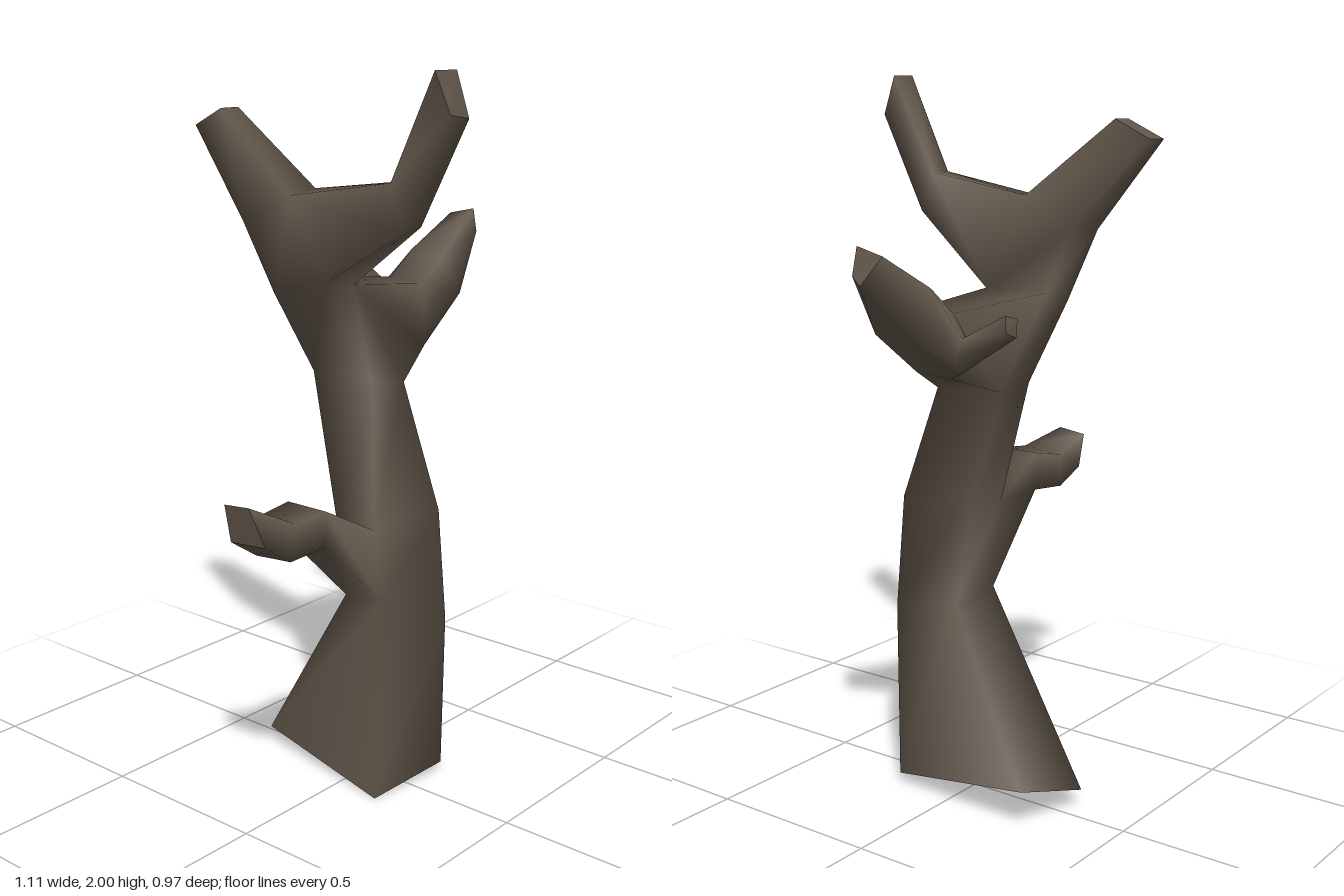
import * as THREE from 'three';

// Each limb is a chain of four-cornered rings, counter-clockwise seen from its tip.
const trunk = [
  [[-0.13, 0, 0.14], [0.12, 0.03, 0.18], [0.18, 0.12, -0.29], [-0.06, 0.05, -0.325]],
  [[-0.14, 0.6, 0.17], [0.06, 0.51, 0.235], [0.07, 0.56, 0.015], [-0.1, 0.57, 0.01]],
  [[-0.17, 0.81, 0.17], [0.03, 0.83, 0.23], [0.04, 0.85, -0.02], [-0.15, 0.81, 0.02]],
  [[-0.07, 1.17, 0.08], [0.05, 1.16, 0.09], [0.06, 1.17, -0.13], [-0.07, 1.18, -0.13]],
  [[-0.16, 1.45, 0], [-0.05, 1.43, 0], [-0.05, 1.43, -0.2], [-0.15, 1.4, -0.2]],
  [[-0.19, 1.67, -0.1], [-0.09, 1.68, -0.1], [-0.08, 1.6, -0.26], [-0.2, 1.59, -0.26]],
  [[-0.165, 1.88, -0.37], [-0.1, 1.88, -0.37], [-0.09, 1.83, -0.48], [-0.15, 1.83, -0.485]],
];
const [, t1, t2, t3, t4, t5] = trunk;

// Branches grow out of the open sides of their parent limb.
const frontBranch = [
  [t4[0], t4[1], t5[1], t5[0]],
  [[-0.225, 1.61, 0.31], [-0.16, 1.62, 0.31], [-0.16, 1.73, 0.27], [-0.23, 1.73, 0.27]],
  [[-0.265, 1.9, 0.475], [-0.2, 1.89, 0.48], [-0.21, 2, 0.45], [-0.28, 2, 0.44]],
];
const leftBranch = [
  [t3[1], t3[2], t4[2], t4[1]],
  [[0.21, 1.23, 0.035], [0.25, 1.23, -0.11], [0.25, 1.4, -0.12], [0.22, 1.4, 0.02]],
  [[0.39, 1.35, 0.02], [0.38, 1.33, -0.11], [0.33, 1.47, -0.11], [0.32, 1.46, 0.01]],
  [[0.52, 1.51, -0.02], [0.55, 1.49, -0.07], [0.5, 1.56, -0.1], [0.49, 1.58, -0.01]],
];
const [, b1, b2] = leftBranch;
const twig = [
  [b2[1], b1[1], b1[2], b2[2]],
  [[0.38, 1.31, -0.22], [0.33, 1.26, -0.2], [0.32, 1.33, -0.23], [0.37, 1.36, -0.24]],
  [[0.405, 1.39, -0.395], [0.37, 1.375, -0.4], [0.365, 1.42, -0.4], [0.4, 1.43, -0.39]],
];
const rightBranch = [
  [t1[3], t1[0], t2[0], t2[3]],
  [[-0.35, 0.8, 0.04], [-0.35, 0.81, 0.16], [-0.36, 0.91, 0.17], [-0.36, 0.91, 0.04]],
  [[-0.47, 0.79, 0.03], [-0.47, 0.8, 0.15], [-0.46, 0.9, 0.155], [-0.46, 0.89, 0.025]],
  [[-0.54, 0.84, 0.01], [-0.54, 0.85, 0.13], [-0.555, 0.95, 0.09], [-0.55, 0.94, 0]],
];

// Bark quads of a limb; open lists 'segment:side' left out for a branch.
function barkQuads(rings, open) {
  const quads = [];
  for (let s = 0; s + 1 < rings.length; s++) {
    for (let i = 0; i < 4; i++) {
      const j = (i + 1) % 4;
      if (!open.includes(`${s}:${i}`)) quads.push([rings[s][i], rings[s][j], rings[s + 1][j], rings[s + 1][i]]);
    }
  }
  return quads;
}

function quadGeometry(quads) {
  const corners = quads.flatMap(([a, b, c, d]) => [a, b, c, a, c, d]);
  const geometry = new THREE.BufferGeometry();
  geometry.setAttribute('position', new THREE.Float32BufferAttribute(corners.flat(), 3));
  geometry.computeVertexNormals();
  return { geometry, corners };
}

export function createModel() {
  const group = new THREE.Group();
  const bark = new THREE.MeshStandardMaterial({ color: 0x61564a });
  bark.name = 'bark';

  const limbs = [
    ['trunk', trunk, ['1:3', '3:1', '4:0']],
    ['frontBranch', frontBranch, []],
    ['leftBranch', leftBranch, ['1:1']],
    ['twig', twig, []],
    ['rightBranch', rightBranch, []],
  ];
  const sums = new Map();
  const built = [];
  const add = (name, geometry) => {
    const mesh = new THREE.Mesh(geometry, bark);
    mesh.name = name;
    group.add(mesh);
  };

  for (const [name, rings, open] of limbs) {
    const part = quadGeometry(barkQuads(rings, open));
    built.push(part);
    add(name, part.geometry);
    // Flat cut ends
    const ends = [rings[rings.length - 1]];
    if (name === 'trunk') ends.push([...rings[0]].reverse());
    add(name + 'End', quadGeometry(ends).geometry);
  }

  // Share smooth normals across every joint between limbs
  const n = new THREE.Vector3();
  for (const { geometry, corners } of built) {
    corners.forEach((c, i) => {
      if (!sums.has(c)) sums.set(c, new THREE.Vector3());
      sums.get(c).add(n.fromBufferAttribute(geometry.attributes.normal, i));
    });
  }
  for (const { geometry, corners } of built) {
    corners.forEach((c, i) => {
      n.copy(sums.get(c)).normalize();
      geometry.attributes.normal.setXYZ(i, n.x, n.y, n.z);
    });
  }
  return group;
}
